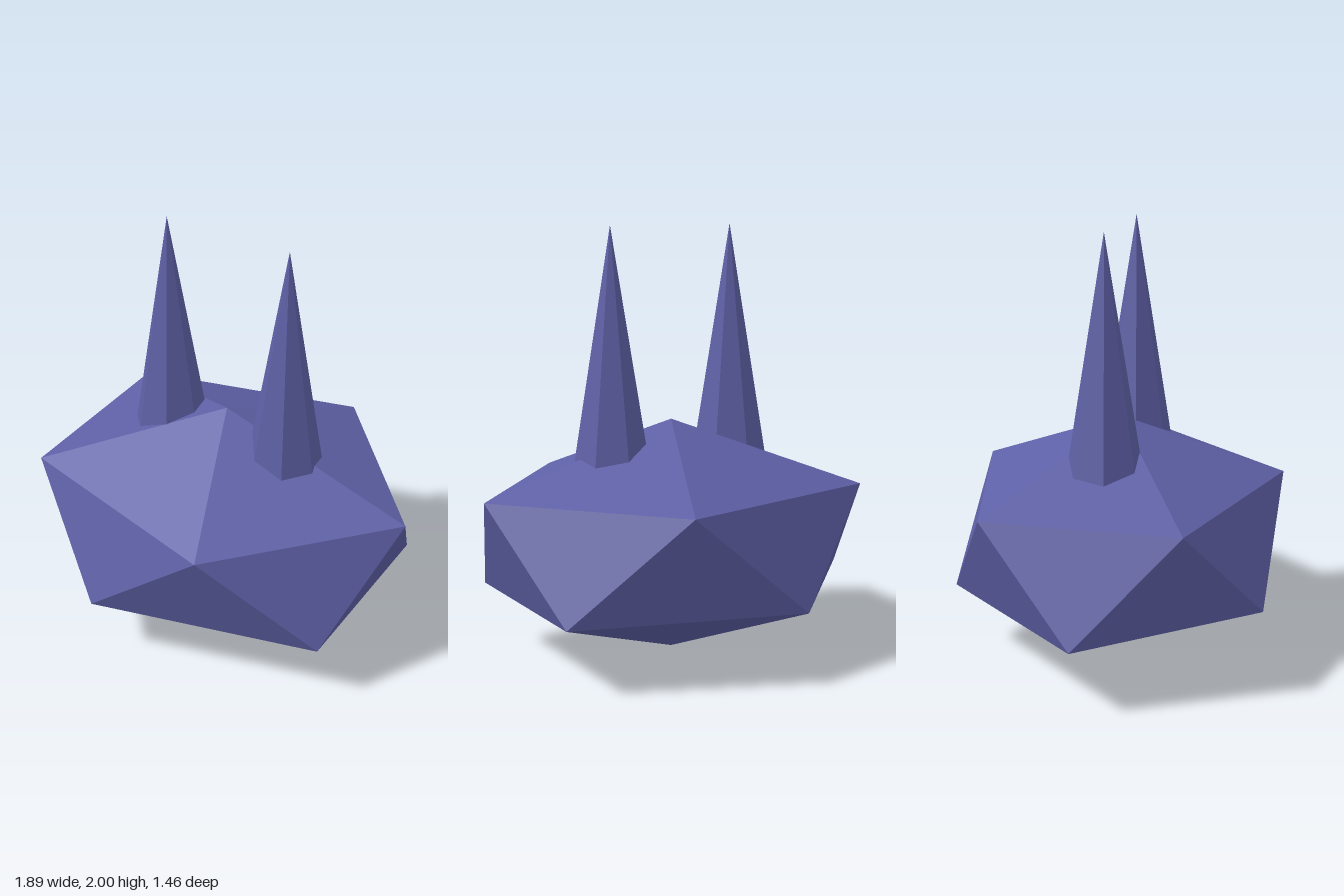
import * as THREE from 'three';

export function createModel() {
  const model = new THREE.Group();
  const indigo = new THREE.MeshStandardMaterial({ color: 0x5e60a6 });
  indigo.name = 'indigo';

  // Squashed icosahedron standing on one corner
  const goldenRatio = (1 + Math.sqrt(5)) / 2;
  const bodyGeometry = new THREE.IcosahedronGeometry(1, 0)
    .rotateX(-Math.atan(goldenRatio))
    .rotateY(Math.PI / 2)
    .scale(1.056, 0.55, 0.859)
    .translate(0, 0.55, 0);
  bodyGeometry.computeVertexNormals();
  const body = new THREE.Mesh(bodyGeometry, indigo);
  body.name = 'body';
  model.add(body);

  // Seven-sided spikes sunk into the top, one corner pointing back
  const baseY = 0.8;
  const height = 2 - baseY;
  const spikeGeometry = new THREE.ConeGeometry(0.163 * height, height, 7, 1, false, Math.PI).toNonIndexed();
  spikeGeometry.computeVertexNormals();
  for (const [name, side] of [['leftSpike', 1], ['rightSpike', -1]]) {
    const spike = new THREE.Mesh(spikeGeometry, indigo);
    spike.name = name;
    spike.position.set(side * 0.313, baseY + height / 2, 0);
    model.add(spike);
  }
  return model;
}
